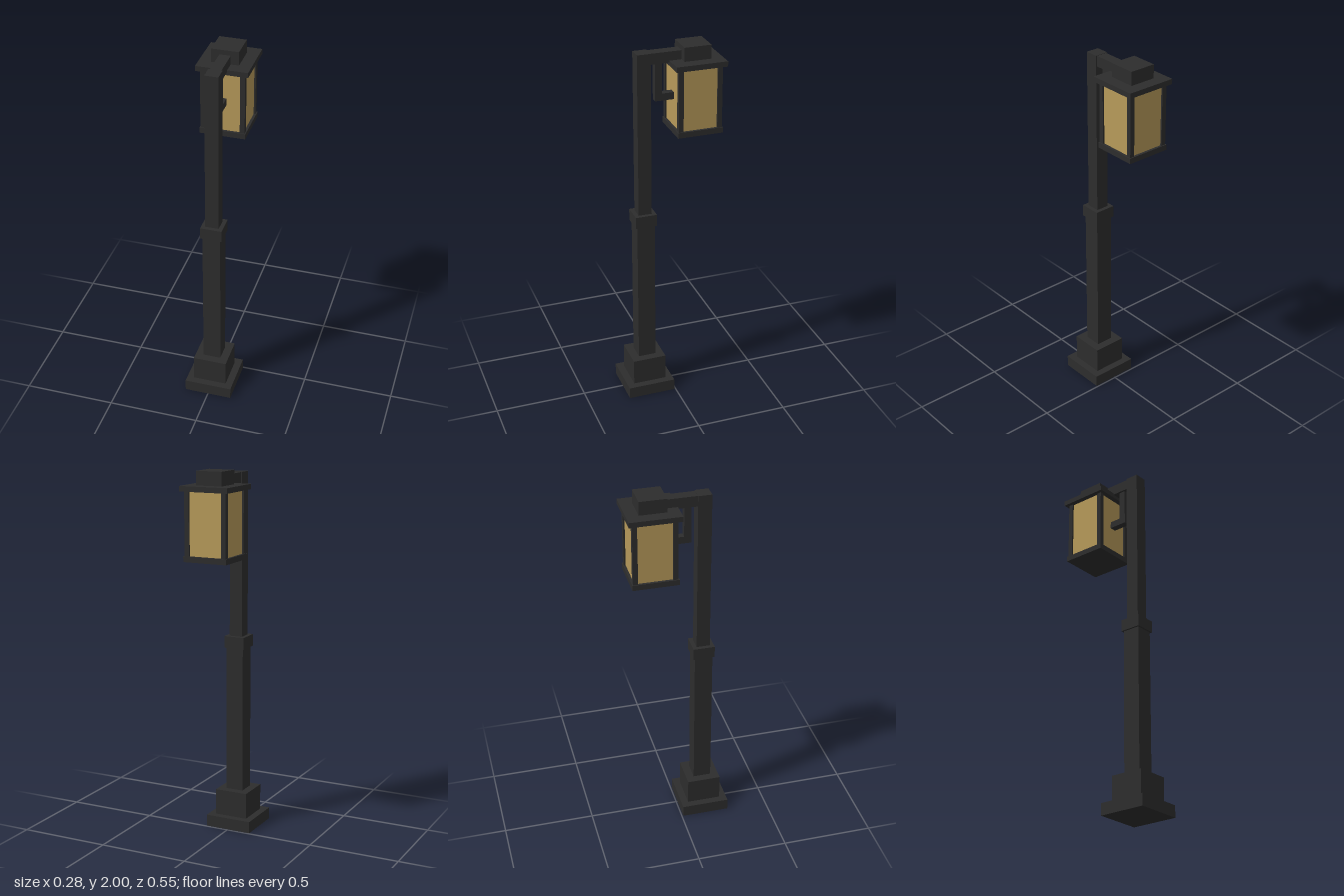
import * as THREE from 'three';

export function createModel() {
  const iron = new THREE.MeshStandardMaterial({ name: 'dark iron', color: 0x2d2d2d });
  const glass = new THREE.MeshStandardMaterial({ name: 'amber glass', color: 0xb79a5a });
  const lamp = new THREE.Group();
  lamp.name = 'streetLamp';

  // Box given by its width, its y range and its z range, centred on x
  function block(name, width, y0, y1, z0, z1, material = iron, x = 0, parent = lamp) {
    const mesh = new THREE.Mesh(new THREE.BoxGeometry(width, y1 - y0, z1 - z0), material);
    mesh.name = name;
    mesh.position.set(x, (y0 + y1) / 2, (z0 + z1) / 2);
    parent.add(mesh);
    return mesh;
  }
  // Square block centred on a given z
  const square = (name, size, y0, y1, z, material, x, parent) =>
    block(name, size, y0, y1, z - size / 2, z + size / 2, material, x, parent);

  // Stepped foot and post
  const postZ = 0.14;
  square('basePlate', 0.264, 0, 0.065, postZ);
  square('plinth', 0.186, 0.065, 0.21, postZ);
  square('lowerPost', 0.098, 0.21, 1.02, postZ);
  square('collar', 0.117, 1.02, 1.085, postZ);
  square('upperPost', 0.073, 1.085, 1.976, postZ);

  // Arm and the L-shaped bracket below it
  block('arm', 0.059, 1.916, 1.974, -0.08, 0.104);
  block('bracketDrop', 0.037, 1.75, 1.916, 0.037, 0.075);
  block('bracketFoot', 0.037, 1.712, 1.75, -0.03, 0.075);

  // Lantern
  const lantern = new THREE.Group();
  lantern.name = 'lantern';
  lantern.position.z = -0.136;
  lamp.add(lantern);
  square('lanternFloor', 0.246, 1.535, 1.565, 0, iron, 0, lantern);
  square('lanternRoof', 0.275, 1.898, 1.926, 0, iron, 0, lantern);
  square('roofCap', 0.145, 1.926, 2, 0, iron, 0, lantern);
  square('glassBody', 0.218, 1.565, 1.898, 0, glass, 0, lantern);
  for (const x of [-1, 1]) {
    for (const z of [-1, 1]) {
      square('cornerPost', 0.026, 1.565, 1.898, z * 0.105, iron, x * 0.105, lantern);
    }
  }
  return lamp;
}
